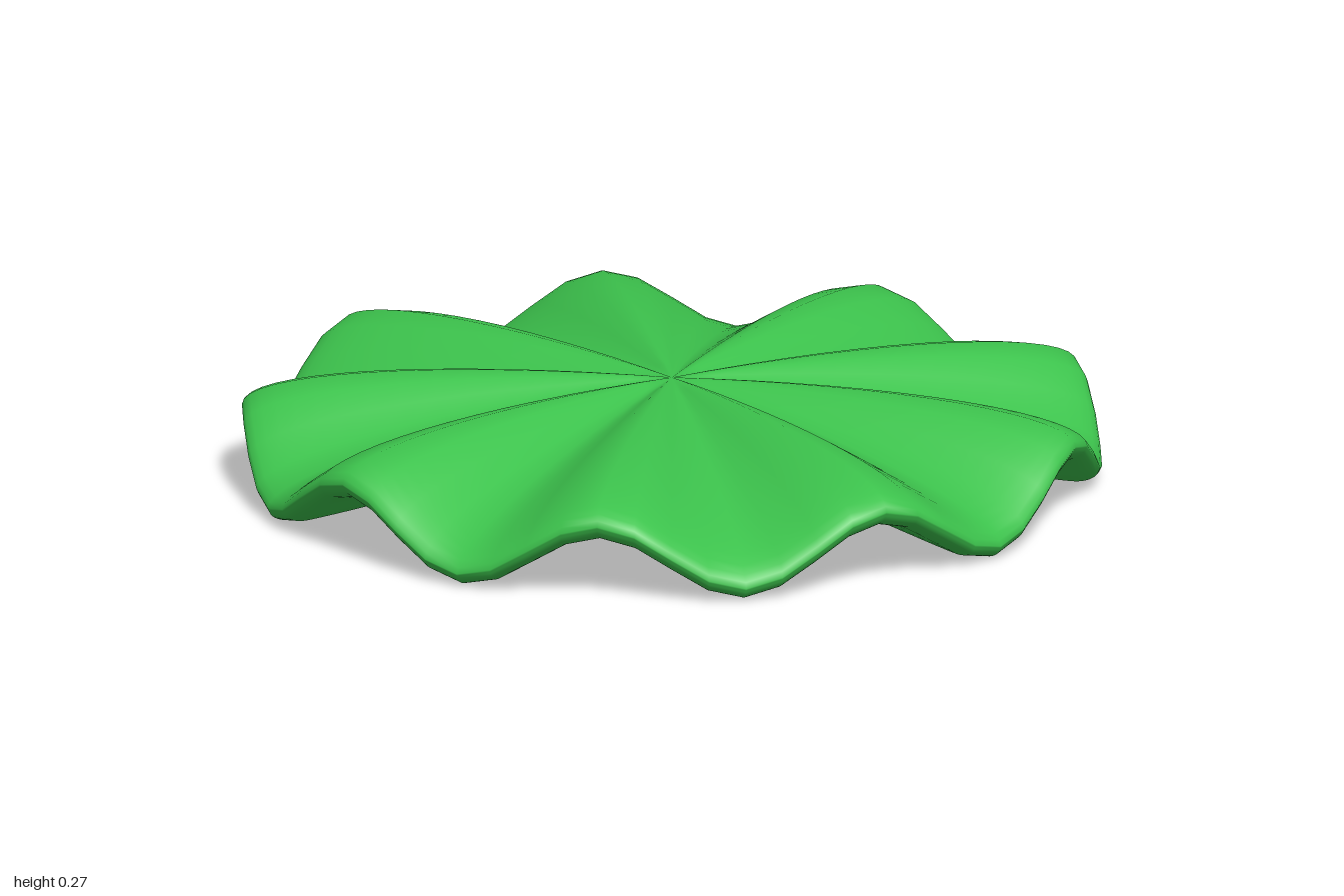
import * as THREE from 'three';
import { mergeVertices } from 'three/addons/utils/BufferGeometryUtils.js';

const LOBES = 9, WAVE = 0.075, RIM_HEIGHT = 0.11, DOME = 0.14, SIDES = 72;

export function createModel() {
  const green = new THREE.MeshStandardMaterial({ color: 0x3cc24c });
  green.name = 'leafGreen';

  // Underside: nearly flat, with a rounded lip hanging just inside the rim
  const under = new THREE.SplineCurve([
    [0, 0], [0.4, -0.012], [0.75, -0.03], [0.9, -0.037], [0.955, -0.036], [0.987, -0.022], [1, 0],
  ].map(([r, y]) => new THREE.Vector2(r, y)));
  const profile = under.getPoints(24);
  profile[0].x = 0;

  // Top: a flattened half ellipse from the rim to the centre
  for (let i = 1; i <= 16; i++) {
    const t = (i / 16) * Math.PI / 2;
    profile.push(new THREE.Vector2(i === 16 ? 0 : Math.cos(t), DOME * Math.sin(t)));
  }

  // Ruffle: nine waves that grow from the centre to the rim
  let geometry = new THREE.LatheGeometry(profile, SIDES);
  const pos = geometry.attributes.position;
  for (let i = 0; i < pos.count; i++) {
    const x = pos.getX(i), z = pos.getZ(i);
    const wave = WAVE * Math.hypot(x, z) * Math.cos(LOBES * Math.atan2(x, z));
    pos.setY(i, pos.getY(i) + RIM_HEIGHT - wave);
  }

  // Weld the seam and the poles for smooth shading
  geometry.deleteAttribute('uv');
  geometry.deleteAttribute('normal');
  geometry = mergeVertices(geometry, 1e-4);
  geometry.computeVertexNormals();
  geometry.computeBoundingBox();
  geometry.translate(0, -geometry.boundingBox.min.y, 0);

  const leaf = new THREE.Mesh(geometry, green);
  leaf.name = 'ruffledLeaf';
  const group = new THREE.Group();
  group.name = 'lettuceLeaf';
  group.add(leaf);
  return group;
}
